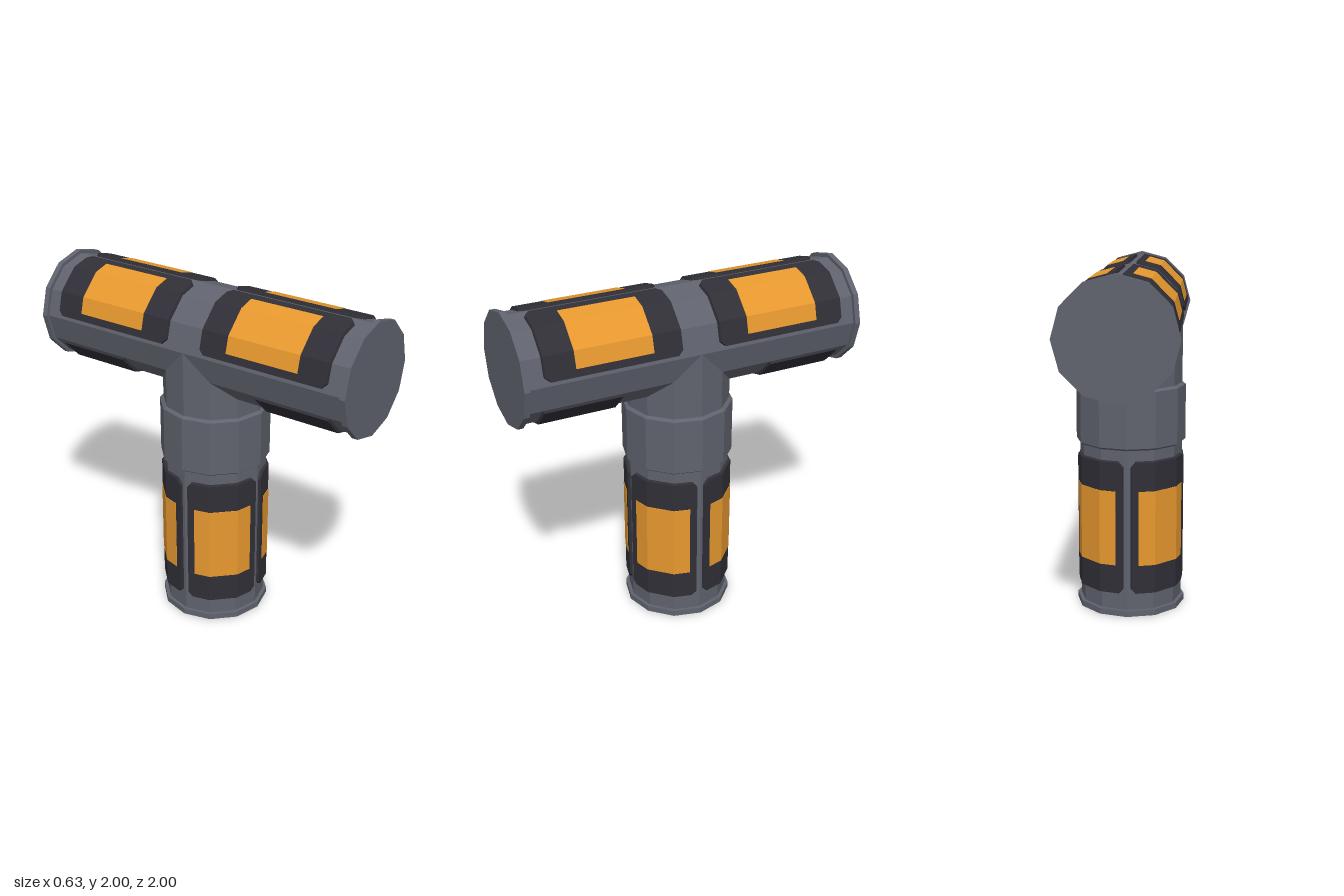
import * as THREE from 'three';

const grey = new THREE.MeshStandardMaterial({ color: 0x60636e });
grey.name = 'gunmetal grey';
const dark = new THREE.MeshStandardMaterial({ color: 0x302f37 });
dark.name = 'charcoal';
const orange = new THREE.MeshStandardMaterial({ color: 0xe8992f });
orange.name = 'amber';

const STEP = Math.PI / 6; // twelve-sided tubes
const deg = THREE.MathUtils.degToRad;

// Distance from the axis to the side of a 12-gon at angle a
function polyRadius(r, a) {
  const m = ((a % STEP) + STEP) % STEP;
  return r * Math.cos(STEP / 2) / Math.cos(m - STEP / 2);
}

function mesh(name, geometry, material) {
  const g = geometry.index ? geometry.toNonIndexed() : geometry;
  g.computeVertexNormals(); // faceted
  const m = new THREE.Mesh(g, material);
  m.name = name;
  return m;
}

// Faceted tube along y, with optional bevels at both ends
function tube(name, r, y0, y1, bevel = 0, inner = r) {
  const pts = [[0, y0], [inner, y0], [r, y0 + bevel], [r, y1 - bevel], [inner, y1], [0, y1]]
    .filter((p, i, all) => i === 0 || p[0] !== all[i - 1][0] || p[1] !== all[i - 1][1])
    .map(([x, y]) => new THREE.Vector2(x, y));
  return mesh(name, new THREE.LatheGeometry(pts, 12), grey);
}

// Plate wrapped around the tube: columns by angle, rows by height, bevelled rim
function wrap(name, material, { mid, half, y0, y1, rIn, rOut, chamfer = 0, bevel = 0.001 }) {
  const a0 = deg(mid - half), a1 = deg(mid + half);
  const bA = bevel / rOut, cA = chamfer / rOut;
  const angles = [a0, a0 + bA, a1 - bA, a1];
  if (chamfer) angles.push(a0 + cA, a1 - cA);
  for (let k = Math.ceil((a0 + bA + 1e-4) / STEP); k * STEP < a1 - bA - 1e-4; k++) angles.push(k * STEP);
  angles.sort((a, b) => a - b);
  const columns = angles.map((a, i) => {
    const edge = i === 0 || i === angles.length - 1;
    const fromSide = Math.min(a - a0, a1 - a);
    const inset = chamfer ? chamfer * Math.max(0, 1 - fromSide / cA) : 0;
    const lo = y0 + inset, hi = y1 - inset;
    return [[rIn, lo], [edge ? rIn : rOut, lo + bevel], [edge ? rIn : rOut, hi - bevel], [rIn, hi]]
      .map(([r, y]) => {
        const p = polyRadius(r, a);
        return [p * Math.sin(a), y, p * Math.cos(a)];
      });
  });
  const pos = [];
  for (let i = 0; i < columns.length - 1; i++) {
    for (let j = 0; j < 3; j++) {
      const a = columns[i][j], b = columns[i + 1][j];
      const c = columns[i + 1][j + 1], d = columns[i][j + 1];
      pos.push(...a, ...b, ...c, ...a, ...c, ...d);
    }
  }
  const g = new THREE.BufferGeometry();
  g.setAttribute('position', new THREE.Float32BufferAttribute(pos, 3));
  return mesh(name, g, material);
}

// Dark panel with an amber window
function litPanel(mid, y0, y1) {
  const g = new THREE.Group();
  g.name = 'lightPanel';
  const c = (y0 + y1) / 2;
  g.add(wrap('panelFrame', dark, {
    mid, half: 41.7, y0, y1, rIn: 0.288, rOut: 0.313, chamfer: 0.035, bevel: 0.008 }));
  g.add(wrap('panelWindow', orange, {
    mid, half: 32.7, y0: c - 0.218, y1: c + 0.218, rIn: 0.309, rOut: 0.3155 }));
  return g;
}

export function createModel() {
  const model = new THREE.Group();
  model.name = 'teeTube';

  // Upright stem
  const stem = new THREE.Group();
  stem.name = 'stem';
  stem.add(tube('stemTube', 0.296, 0.01, 1.684));
  stem.add(tube('baseFlange', 0.316, 0, 0.035));
  stem.add(tube('stemCollar', 0.316, 0.972, 1.315, 0.012, 0.3));
  for (const mid of [45, 135, 225, 315]) stem.add(litPanel(mid, 0.128, 0.912));
  model.add(stem);

  // Crossbar, built along y and laid along z
  const bar = new THREE.Group();
  bar.name = 'crossbar';
  bar.add(tube('crossbarTube', 0.296, -0.99, 0.99));
  bar.add(tube('frontFlange', 0.316, 0.968, 1));
  bar.add(tube('backFlange', 0.316, -1, -0.968));
  for (const s of [-1, 1]) {
    const span = (a, b) => (s > 0 ? [a, b] : [-b, -a]);
    for (const mid of [135, 225]) bar.add(litPanel(mid, ...span(0.106, 0.888)));
    const [y0, y1] = span(0.447, 0.888);
    bar.add(wrap('undersidePad', dark, { mid: 0, half: 60, y0, y1, rIn: 0.288, rOut: 0.313 }));
  }
  bar.rotation.x = Math.PI / 2;
  bar.position.y = 1.684;
  model.add(bar);

  return model;
}
